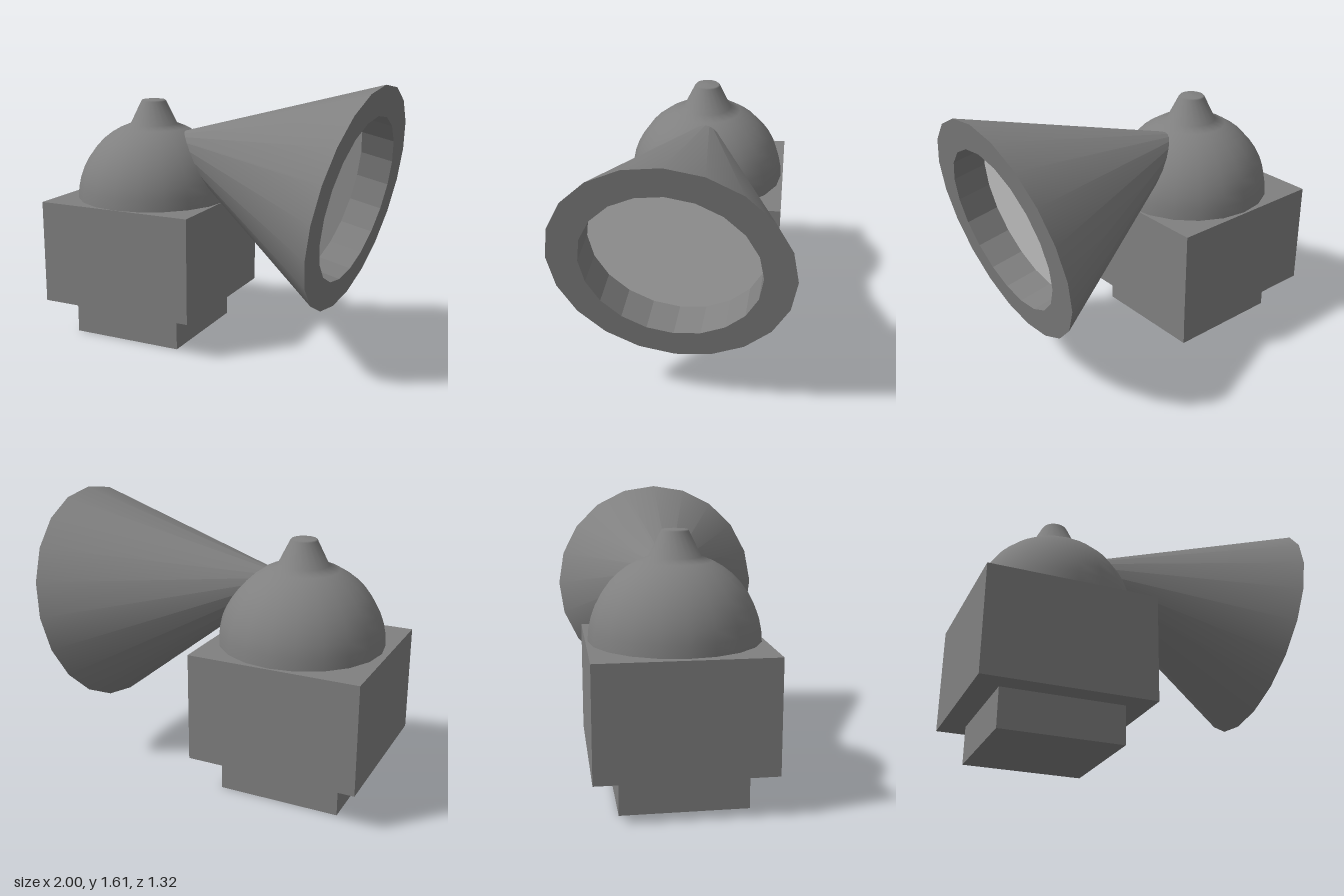
import * as THREE from 'three';

const SIDES = 20;

export function createModel() {
  const group = new THREE.Group();
  const body = new THREE.MeshStandardMaterial({ color: 0x808080 });
  const faceted = new THREE.MeshStandardMaterial({ color: 0x808080, flatShading: true });
  const pale = new THREE.MeshStandardMaterial({ color: 0xcccccc });

  const add = (parent, name, geometry, material) => {
    const mesh = new THREE.Mesh(geometry, material);
    mesh.name = name;
    parent.add(mesh);
    return mesh;
  };
  const lathe = (points) =>
    new THREE.LatheGeometry(points.map(([r, y]) => new THREE.Vector2(r, y)), SIDES);

  // Stacked square blocks
  add(group, 'foot', new THREE.BoxGeometry(0.71, 0.225, 0.7), body)
    .position.set(-0.505, 0.1125, -0.06);
  add(group, 'block', new THREE.BoxGeometry(0.99, 0.63, 0.97), body)
    .position.set(-0.505, 0.54, -0.065);

  // Dome that flows into a small tapered knob
  const domeRadius = 0.477;
  const dome = [];
  const lastAngle = Math.acos(0.145 / domeRadius);
  for (let i = 0; i <= 9; i++) {
    const a = (lastAngle * i) / 9;
    dome.push([domeRadius * Math.cos(a), domeRadius * Math.sin(a)]);
  }
  dome.push([0.077, 0.592], [0.07, 0.6], [0, 0.605]);
  add(group, 'dome', lathe(dome), body).position.set(-0.485, 0.855, -0.06);

  // Horn: its axis is local y, with the rim centre at the local origin
  const horn = new THREE.Group();
  horn.name = 'horn';
  const axis = new THREE.Vector3(0.978, -0.2, 0.061).normalize();
  const up = new THREE.Vector3(0, 1, 0).addScaledVector(axis, -axis.y).normalize();
  const side = new THREE.Vector3().crossVectors(axis, up);
  horn.quaternion.setFromRotationMatrix(new THREE.Matrix4().makeBasis(side, axis, up));
  horn.position.set(0.858, 0.967, 0);
  group.add(horn);

  const rim = 0.661, hole = 0.487, depth = 0.2;
  add(horn, 'hornCone', lathe([[0, -1.32], [rim, 0]]), body);
  add(horn, 'hornRim', lathe([[rim, 0], [hole, 0]]), faceted);
  add(horn, 'hornInnerWall', lathe([[hole, 0], [hole, -depth]]), faceted);
  add(horn, 'hornDisc', lathe([[hole, -depth], [0, -depth]]), pale);

  return group;
}
